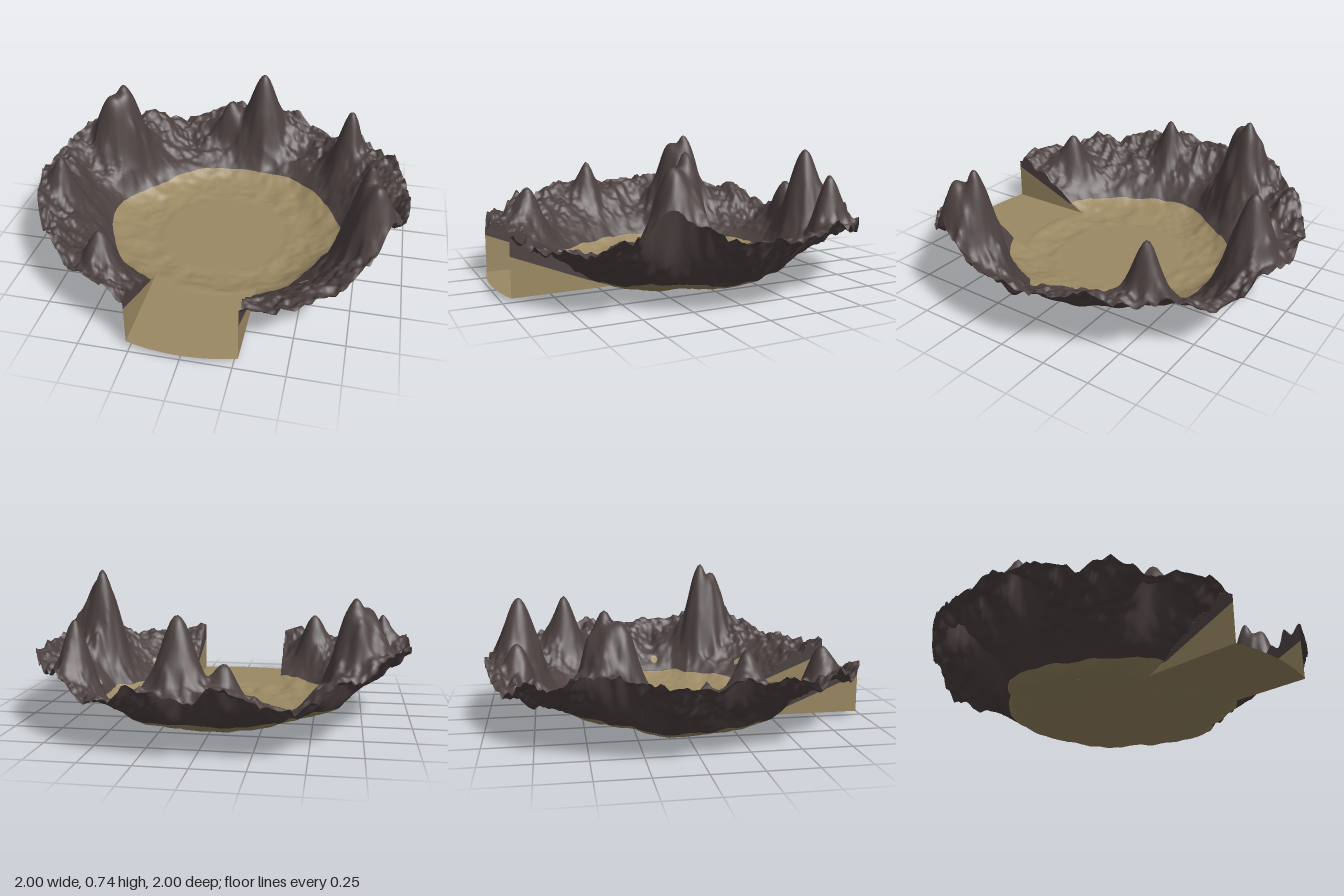
import * as THREE from 'three';

const sand = new THREE.MeshStandardMaterial({ color: 0x9b8963, side: THREE.DoubleSide });
sand.name = 'sand';
const rock = new THREE.MeshStandardMaterial({ color: 0x4d4141, side: THREE.DoubleSide });
rock.name = 'dark rock';

const GAP = 0.27;     // half width of the entrance
const FLOOR_R = 0.5;  // radius where the entrance starts
const ENTRY_Y = 0.03;

// [angle in degrees from the front towards +x, radius of the foot of the cliffs]
const foot = [[0, .62], [26, .62], [43, .62], [60, .6], [72, .6], [81, .66], [99, .655], [113, .63], [135, .63],
  [152, .645], [170, .6], [185, .61], [204, .615], [226, .58], [241, .575], [259, .65], [274, .645],
  [294, .62], [312, .63], [334, .62], [360, .62]];
// [angle, height of the rim]
const rim = [[0, .3], [30, .3], [58, .34], [68, .44], [78, .4], [90, .35], [115, .39], [130, .32], [155, .27],
  [180, .31], [196, .3], [206, .21], [216, .34], [225, .35], [240, .38], [270, .39], [300, .36], [325, .31], [360, .3]];
// [x, z, height, width] of the spires
const spires = [[.78, .31, .74, .1], [.82, .39, .68, .09], [-.7, -.42, .68, .11], [-.75, -.36, .63, .1],
  [.08, -.82, .64, .115], [.64, -.57, .57, .095], [-.47, .68, .44, .09], [-.86, .19, .52, .075],
  [-.13, -.83, .43, .08]];
// [x, z] of small sandy spots on the cliffs
const spots = [[.72, 0], [.51, .5]];

const lerp = THREE.MathUtils.lerp;
const clamp = THREE.MathUtils.clamp;

function lookup(table, deg) {
  let i = 1;
  while (i < table.length - 1 && table[i][0] < deg) i++;
  const [a, va] = table[i - 1], [b, vb] = table[i];
  return lerp(va, vb, clamp((deg - a) / (b - a), 0, 1));
}

// smooth value noise in -1..1
function hash(i, j) {
  const s = Math.sin(i * 127.1 + j * 311.7) * 43758.5453;
  return (s - Math.floor(s)) * 2 - 1;
}
function noise(x, y) {
  const i = Math.floor(x), j = Math.floor(y), u = x - i, v = y - j;
  const a = u * u * (3 - 2 * u), b = v * v * (3 - 2 * v);
  return lerp(lerp(hash(i, j), hash(i + 1, j), a), lerp(hash(i, j + 1), hash(i + 1, j + 1), a), b);
}

const degrees = (x, z) => (Math.atan2(x, z) * 180 / Math.PI + 360) % 360;
const footAt = (x, z) => lookup(foot, degrees(x, z));

// height of the ground at any place
function height(x, z) {
  const r = Math.hypot(x, z);
  if (r < 0.33) return 0.012;
  const R = footAt(x, z);
  const rough = THREE.MathUtils.smoothstep(r, 0.33, 0.4);
  const bumps = rough * (0.01 * noise(x * 11, z * 11) + 0.004 * noise(x * 26, z * 26));
  const k = clamp((r - 0.33) / (R - 0.33), 0, 1);
  let y = 0.012 + 0.062 * k * k * k + bumps;
  if (r > R) {
    const t = (r - R) / (1 - R), f = t * (1.35 - 0.35 * t);
    y += (lookup(rim, degrees(x, z)) - 0.076) * f;
    y += f * (0.04 * noise(x * 7, z * 7 + 9) + 0.03 * noise(x * 11, z * 24) + 0.018 * noise(x * 40, z * 40));
    for (const [px, pz, h, w] of spires) {
      const d = Math.hypot(x - px, z - pz) * (1 + 0.12 * noise(x * 18, z * 18)) / w;
      const g = Math.exp(-Math.pow(d, 1.9)) * Math.min(1, t * 6);
      if (h > y) y += (h - y) * g;
    }
  }
  return Math.max(0, y);
}

// entrance floor: blends from the arena ground to a level ramp
function entryHeight(x, z) {
  return lerp(height(x, z), ENTRY_Y, clamp((Math.hypot(x, z) - FLOOR_R) / 0.06, 0, 1));
}

// ground sheet over a grid; the first sandRows rows are sand, the rest rock
function sheet(name, rows, cols, place, heightAt, sandRows = rows) {
  const pos = [], nor = [], idx = [], e = 0.004;
  for (let i = 0; i <= rows; i++) for (let j = 0; j <= cols; j++) {
    const [x, z] = place(i, j / cols);
    pos.push(x, heightAt(x, z), z);
    const n = new THREE.Vector3(heightAt(x - e, z) - heightAt(x + e, z), 2 * e,
      heightAt(x, z - e) - heightAt(x, z + e)).normalize();
    nor.push(n.x, n.y, n.z);
  }
  for (let i = 0; i < rows; i++) for (let j = 0; j < cols; j++) {
    const a = i * (cols + 1) + j, b = a + cols + 1;
    idx.push(a, b, b + 1, a, b + 1, a + 1);
  }
  const g = new THREE.BufferGeometry();
  g.setAttribute('position', new THREE.Float32BufferAttribute(pos, 3));
  g.setAttribute('normal', new THREE.Float32BufferAttribute(nor, 3));
  g.setIndex(idx);
  const cut = sandRows * cols * 6;
  g.addGroup(0, cut, 0);
  if (cut < idx.length) g.addGroup(cut, idx.length - cut, 1);
  const mesh = new THREE.Mesh(g, [sand, rock]);
  mesh.name = name;
  return mesh;
}

// upright strip along the entrance between two height rules
function strip(name, side, low, high, material) {
  const pos = [], idx = [], n = 60;
  for (let i = 0; i <= n; i++) {
    const r = lerp(FLOOR_R, 1, i / n), x = side * GAP, z = Math.sqrt(r * r - GAP * GAP);
    pos.push(x, low(x, z), z, x, high(x, z), z);
    if (i < n) {
      const a = i * 2;
      idx.push(...(side < 0 ? [a + 2, a, a + 1, a + 2, a + 1, a + 3] : [a, a + 2, a + 1, a + 1, a + 2, a + 3]));
    }
  }
  const g = new THREE.BufferGeometry();
  g.setAttribute('position', new THREE.Float32BufferAttribute(pos, 3));
  g.setIndex(idx);
  g.computeVertexNormals();
  const mesh = new THREE.Mesh(g, material);
  mesh.name = name;
  return mesh;
}

export function createModel() {
  const group = new THREE.Group();
  group.name = 'rocky arena';
  const polar = (r, a) => [r * Math.sin(a), r * Math.cos(a)];

  // round arena floor
  group.add(sheet('arenaFloor', 40, 240,
    (i, u) => polar(i < 4 ? 0.08 * i : lerp(0.32, FLOOR_R, (i - 4) / 36), u * Math.PI * 2), height));

  // sandy apron and rocky cliffs, open at the entrance
  const apronRows = 18, rows = 80;
  group.add(sheet('cliffRing', rows, 300, (i, u) => {
    const at = (r) => {
      const a0 = Math.asin(GAP / r);
      return polar(r, lerp(a0, Math.PI * 2 - a0, u));
    };
    const R = footAt(...at(0.62));
    return at(i < apronRows ? lerp(FLOOR_R, R, i / apronRows) : lerp(R, 1, (i - apronRows) / (rows - apronRows)));
  }, height, apronRows));

  // thin sandy spots lying on the cliffs
  for (const [px, pz] of spots) {
    group.add(sheet('sandSpot', 3, 12, (i, u) => {
      const [dx, dz] = polar(0.022 * i / 3, u * Math.PI * 2);
      return [px + dx, pz + dz];
    }, (x, z) => height(x, z) + 0.005));
  }

  // entrance floor
  group.add(sheet('entranceFloor', 30, 40, (i, u) => {
    const r = lerp(FLOOR_R, 1, i / 30), a0 = Math.asin(GAP / r);
    return polar(r, lerp(-a0, a0, u));
  }, entryHeight));

  // cut sides of the entrance: sand below, rock on top
  const split = (x, z) => Math.min(height(x, z), Math.max(0.07, 0.07 + (z - 0.57) * 0.41));
  for (const side of [-1, 1]) {
    const label = side > 0 ? 'left' : 'right';
    group.add(strip(label + 'EntranceWall', side, entryHeight, split, sand));
    group.add(strip(label + 'EntranceWallTop', side, split, height, rock));
  }
  return group;
}
